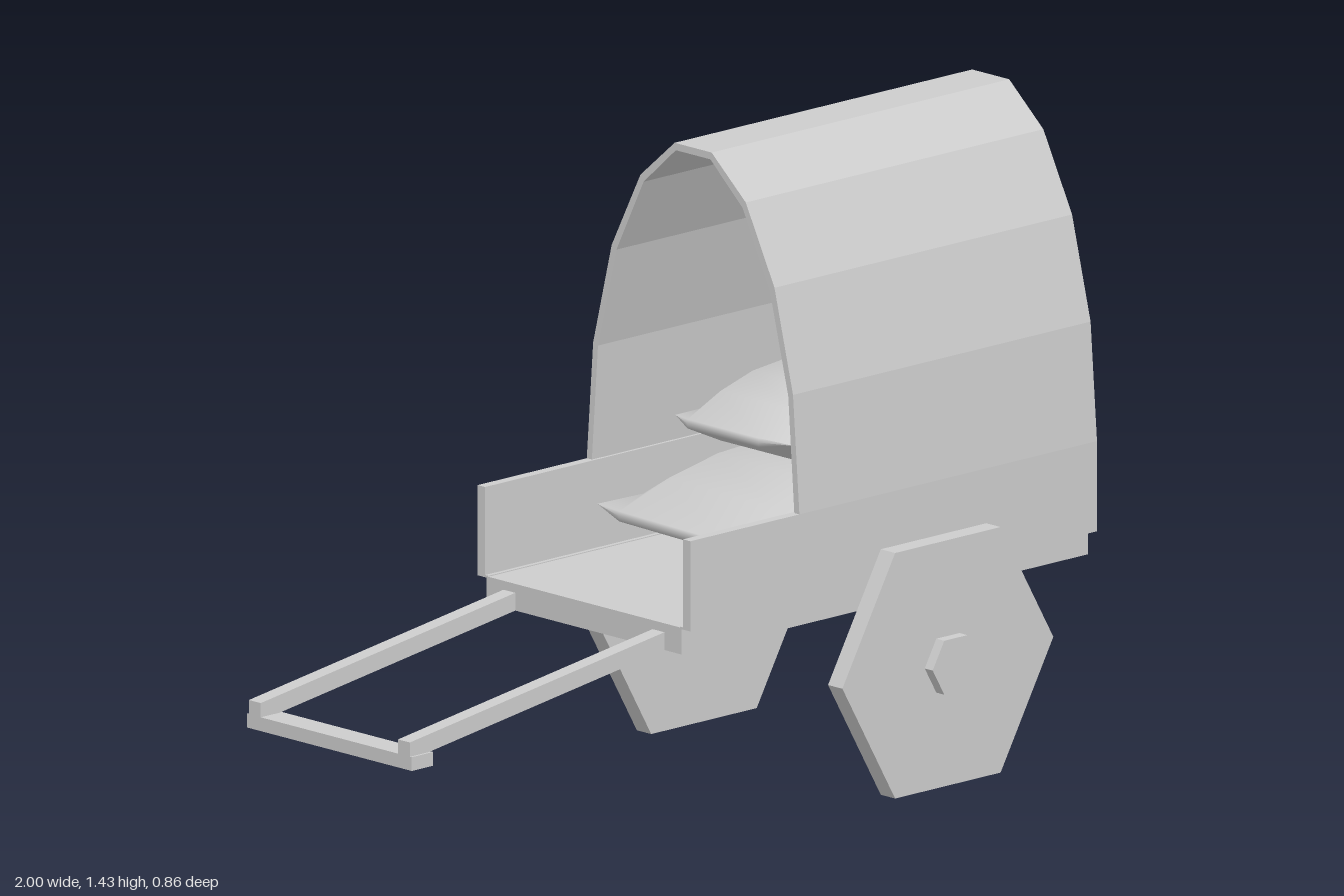
import * as THREE from 'three';

export function createModel() {
  const model = new THREE.Group();
  const grey = new THREE.MeshStandardMaterial({ color: 0xcccccc });
  grey.name = 'plain grey';

  const add = (name, geometry, parent = model) => {
    const mesh = new THREE.Mesh(geometry, grey);
    mesh.name = name;
    parent.add(mesh);
    return mesh;
  };

  // Box given by its minimum and maximum on each axis
  const box = (name, x0, x1, y0, y1, z0, z1) =>
    add(name, new THREE.BoxGeometry(x1 - x0, y1 - y0, z1 - z0)
      .translate((x0 + x1) / 2, (y0 + y1) / 2, (z0 + z1) / 2));

  // Outline in (x, y), extruded between two z values
  const slab = (name, points, z0, z1) => {
    const shape = new THREE.Shape(points.map(([x, y]) => new THREE.Vector2(x, y)));
    return add(name, new THREE.ExtrudeGeometry(shape, { depth: z1 - z0, bevelEnabled: false })
      .translate(0, 0, z0));
  };

  // Cart bed: open at the shaft end, closed by a tailgate
  box('floor', -0.23, 1, 0.41, 0.47, -0.305, 0.305);
  box('leftSideBoard', -0.23, 1, 0.467, 0.67, 0.31, 0.333);
  box('rightSideBoard', -0.23, 1, 0.467, 0.67, -0.333, -0.31);
  box('tailgate', 0.977, 1, 0.467, 0.67, -0.31, 0.31);
  box('floorEdgeLeft', -0.23, 1, 0.467, 0.472, 0.3, 0.312);
  box('floorEdgeRight', -0.23, 1, 0.467, 0.472, -0.312, -0.3);

  // Faceted arched cover, open at both ends
  const outer = [[0.333, 0.67], [0.313, 0.935], [0.255, 1.165], [0.165, 1.34], [0.058, 1.432]];
  const inner = [[0.317, 0.67], [0.298, 0.93], [0.24, 1.157], [0.155, 1.326], [0.054, 1.416]];
  const arch = (half) => [...half, ...half.map(([x, y]) => [-x, y]).reverse()];
  const cover = slab('cover', [...arch(outer), ...arch(inner).reverse()], 0, 0.9);
  cover.geometry.rotateY(Math.PI / 2).translate(0.1, 0, 0);

  // Sloping pull shafts and the handle bar under their ends
  const shaft = [[-1, 0.303], [-0.23, 0.41], [-0.23, 0.45], [-1, 0.343]];
  slab('leftShaft', shaft, 0.215, 0.252);
  slab('rightShaft', shaft, -0.252, -0.215);
  box('handleBar', -1, -0.935, 0.28, 0.311, -0.258, 0.258);

  // Six-sided wheels and hubs
  const hexDisc = (radius, depth) => {
    const g = new THREE.CylinderGeometry(radius, radius, depth, 6)
      .rotateY(Math.PI / 6).rotateX(Math.PI / 2).toNonIndexed();
    g.computeVertexNormals();
    return g;
  };
  for (const [side, s] of [['left', 1], ['right', -1]]) {
    const wheel = new THREE.Group();
    wheel.name = side + 'Wheel';
    wheel.position.set(0.48, 0.28, s * 0.382);
    add('disc', hexDisc(0.319, 0.045), wheel);
    add('hub', hexDisc(0.07, 0.095), wheel);
    model.add(wheel);
  }

  // Stuffed sack: two smooth shells meeting in a sharp seam
  const columns = [-1, -0.6, 0.6, 1];
  const rows = [[-1, 0], [-1, 0.11], [-0.66, 0.6], [-0.33, 0.9], [0, 1],
    [0.33, 0.9], [0.66, 0.6], [1, 0.11], [1, 0]];
  const sack = (name, x, y, halfLength, halfHeight, halfWidth, turn) => {
    const group = new THREE.Group();
    group.name = name;
    for (const up of [1, -1]) {
      const g = new THREE.PlaneGeometry(1, 1, rows.length - 1, columns.length - 1);
      const p = g.attributes.position;
      for (let i = 0; i < p.count; i++) {
        const [t, h] = rows[i % rows.length];
        const c = columns[Math.floor(i / rows.length)];
        const middle = Math.abs(c) < 1 ? 1 : 0;
        p.setXYZ(i, t * (halfLength + middle * 0.035),
          middle * h * halfHeight, c * halfWidth);
      }
      if (up < 0) g.rotateX(Math.PI);
      g.computeVertexNormals();
      add(up > 0 ? 'upperShell' : 'lowerShell', g, group);
    }
    group.position.set(x, y, 0);
    group.rotation.y = turn;
    model.add(group);
  };
  sack('lowerSack', 0.475, 0.574, 0.39, 0.103, 0.28, -0.05);
  sack('upperSack', 0.485, 0.773, 0.26, 0.093, 0.185, 0);

  return model;
}
